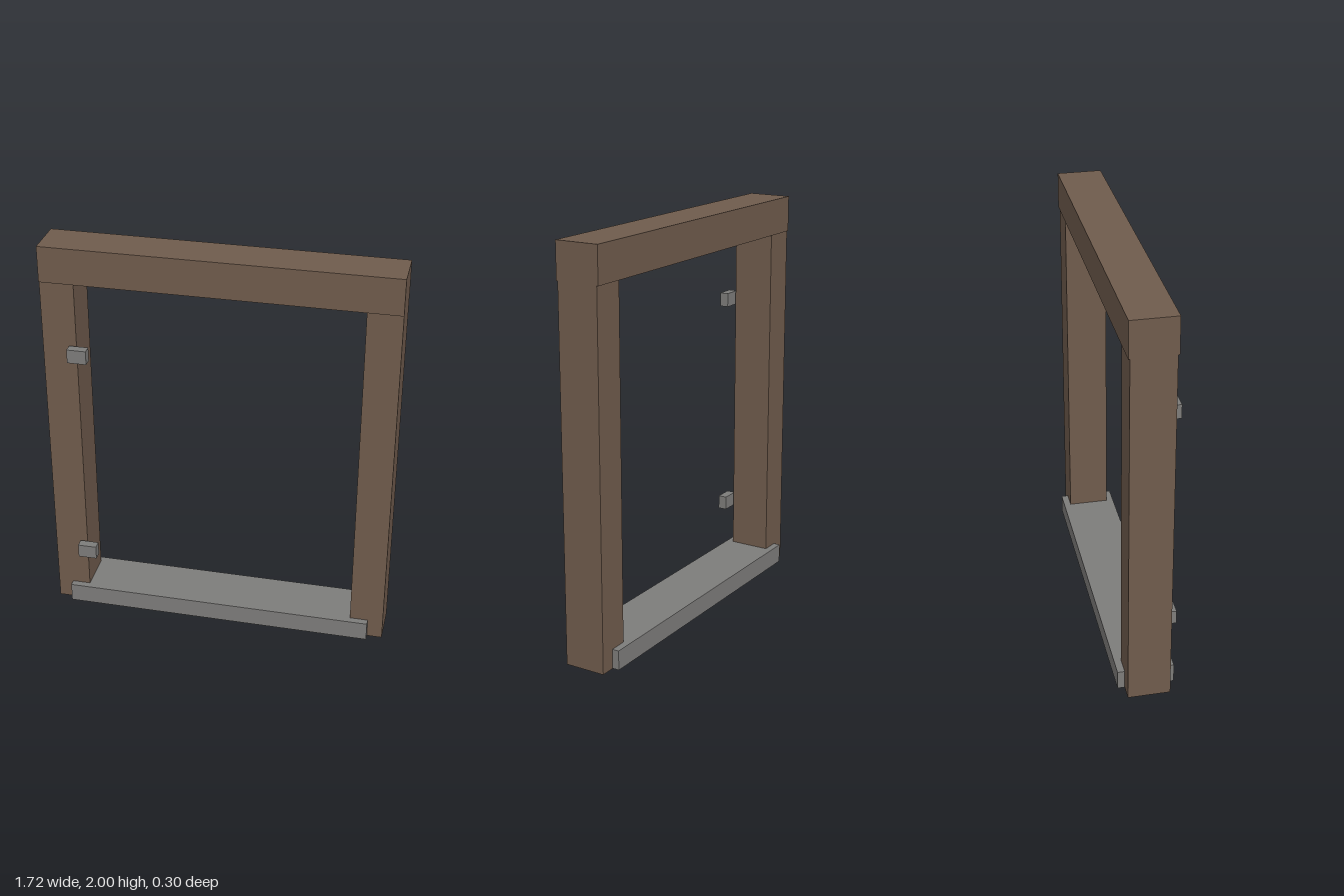
import * as THREE from 'three';

export function createModel() {
  const group = new THREE.Group();
  const wood = new THREE.MeshStandardMaterial({ name: 'brown wood', color: 0x6f5b4c });
  const metal = new THREE.MeshStandardMaterial({ name: 'grey metal', color: 0x7d7c7a });

  // Box given by its lower and upper limits on each axis
  function box(name, material, [x0, x1], [y0, y1], [z0, z1]) {
    const mesh = new THREE.Mesh(new THREE.BoxGeometry(x1 - x0, y1 - y0, z1 - z0), material);
    mesh.position.set((x0 + x1) / 2, (y0 + y1) / 2, (z0 + z1) / 2);
    mesh.name = name;
    group.add(mesh);
  }

  // Door frame: two posts under a slightly deeper lintel
  const postDepth = [-0.115, 0.092];
  box('rightPost', wood, [-0.86, -0.692], [0, 1.82], postDepth);
  box('leftPost', wood, [0.692, 0.86], [0, 1.82], postDepth);
  box('lintel', wood, [-0.86, 0.86], [1.82, 2], [-0.122, 0.099]);

  // Threshold across the foot, just clear of the posts' bottom faces
  box('threshold', metal, [-0.784, 0.784], [0.001, 0.098], [-0.15, 0.127]);

  // Hinge blocks standing just in front of the right post
  for (const [name, y] of [['lowerHinge', 0.339], ['upperHinge', 1.467]]) {
    box(name, metal, [-0.725, -0.63], [y - 0.035, y + 0.035], [0.104, 0.149]);
  }
  return group;
}
